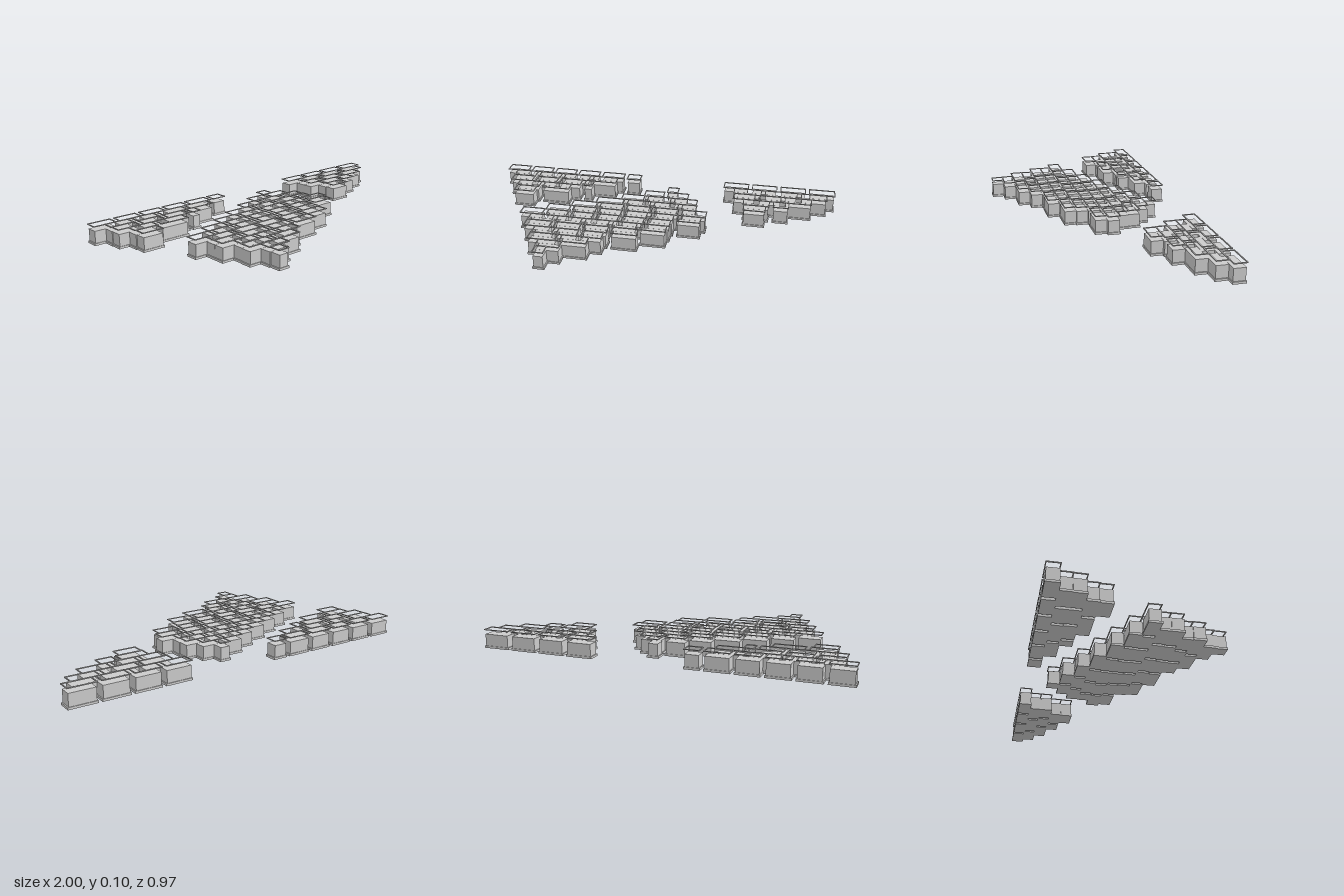
import * as THREE from 'three';

const PITCH = 0.0642, DEPTH = 0.0706, GAP = 0.019;
const FIRST_Z = -7 * PITCH;

// Each row: left edge, then the block widths, in hundredths of a unit
const patches = [
  { name: 'leftRearPatch', firstRow: 0, rows: [
    [34.8, 14.8, 14.8, 14.8, 15],
    [41.2, 16.3, 18.9, 15],
    [41.4, 12.8, 13.1, 15.5],
    [47.6, 15.2, 9.1],
    [48.1, 12.8],
  ] },
  { name: 'rightRearPatch', firstRow: 0, rows: [
    [-100, 13.1, 13.1, 13.1, 13.1, 13.7, 8.5],
    [-93.8, 13.6, 13.6, 16.3, 15],
    [-93.5, 13.3, 13.2, 13.2, 5.5],
    [-87.7, 14, 16.6],
    [-87.2, 12.4],
  ] },
  { name: 'mainPatch', firstRow: 2, rows: [
    [2.7, 6.6],
    [-9.8, 11.6, 12.3],
    [-22, 13.1, 13.7, 13.4],
    [-35.5, 16, 13.6, 14.1, 8.6],
    [-48.4, 14.4, 13.6, 14.7, 13.1, 13.9],
    [-61.2, 13.3, 13.1, 12.8, 12.8, 13.1, 13.3],
    [-74.3, 13, 12, 12.6, 12.5, 12.6, 12.8],
    [-67.8, 14, 14.2, 13.6, 13.6, 14.4],
    [-67.8, 14.6, 14.6, 13.6, 14.5],
    [-61.2, 11.7, 11.5, 11.7],
    [-61.5, 15.7, 15],
    [-55, 13.3],
    [-54.5, 6.4],
  ] },
];

const material = new THREE.MeshStandardMaterial({ color: 0xcccccc, flatShading: true });

function addBox(parent, name, w, h, d, y) {
  const mesh = new THREE.Mesh(new THREE.BoxGeometry(w, h, d), material);
  mesh.name = name;
  mesh.position.y = y + h / 2;
  parent.add(mesh);
}

function rectangle(target, w, d) {
  target.moveTo(-w / 2, -d / 2);
  target.lineTo(w / 2, -d / 2);
  target.lineTo(w / 2, d / 2);
  target.lineTo(-w / 2, d / 2);
  target.closePath();
  return target;
}

// Thin open rectangle floating above a block
function addFrame(parent, w, d) {
  const bar = 0.005;
  const shape = rectangle(new THREE.Shape(), w, d);
  shape.holes.push(rectangle(new THREE.Path(), w - 2 * bar, d - 2 * bar));
  const geometry = new THREE.ExtrudeGeometry(shape, { depth: 0.005, bevelEnabled: false });
  geometry.rotateX(-Math.PI / 2);
  const mesh = new THREE.Mesh(geometry, material);
  mesh.name = 'topFrame';
  mesh.position.y = 0.099;
  parent.add(mesh);
}

// Wider base plate, solid body and floating frame
function createBlock(width) {
  const block = new THREE.Group();
  block.name = 'block';
  addBox(block, 'basePlate', width, 0.012, DEPTH, 0);
  addBox(block, 'blockBody', width - 0.012, 0.065, DEPTH - 0.0074, 0.012);
  addFrame(block, width, DEPTH);
  return block;
}

export function createModel() {
  const model = new THREE.Group();
  model.name = 'blockField';
  for (const { name, firstRow, rows } of patches) {
    const patch = new THREE.Group();
    patch.name = name;
    rows.forEach(([start, ...widths], i) => {
      let x = start / 100;
      for (const hundredths of widths) {
        const width = hundredths / 100;
        const block = createBlock(width);
        block.position.set(x + width / 2, 0, FIRST_Z + (firstRow + i) * PITCH);
        patch.add(block);
        x += width + GAP;
      }
    });
    model.add(patch);
  }
  return model;
}
